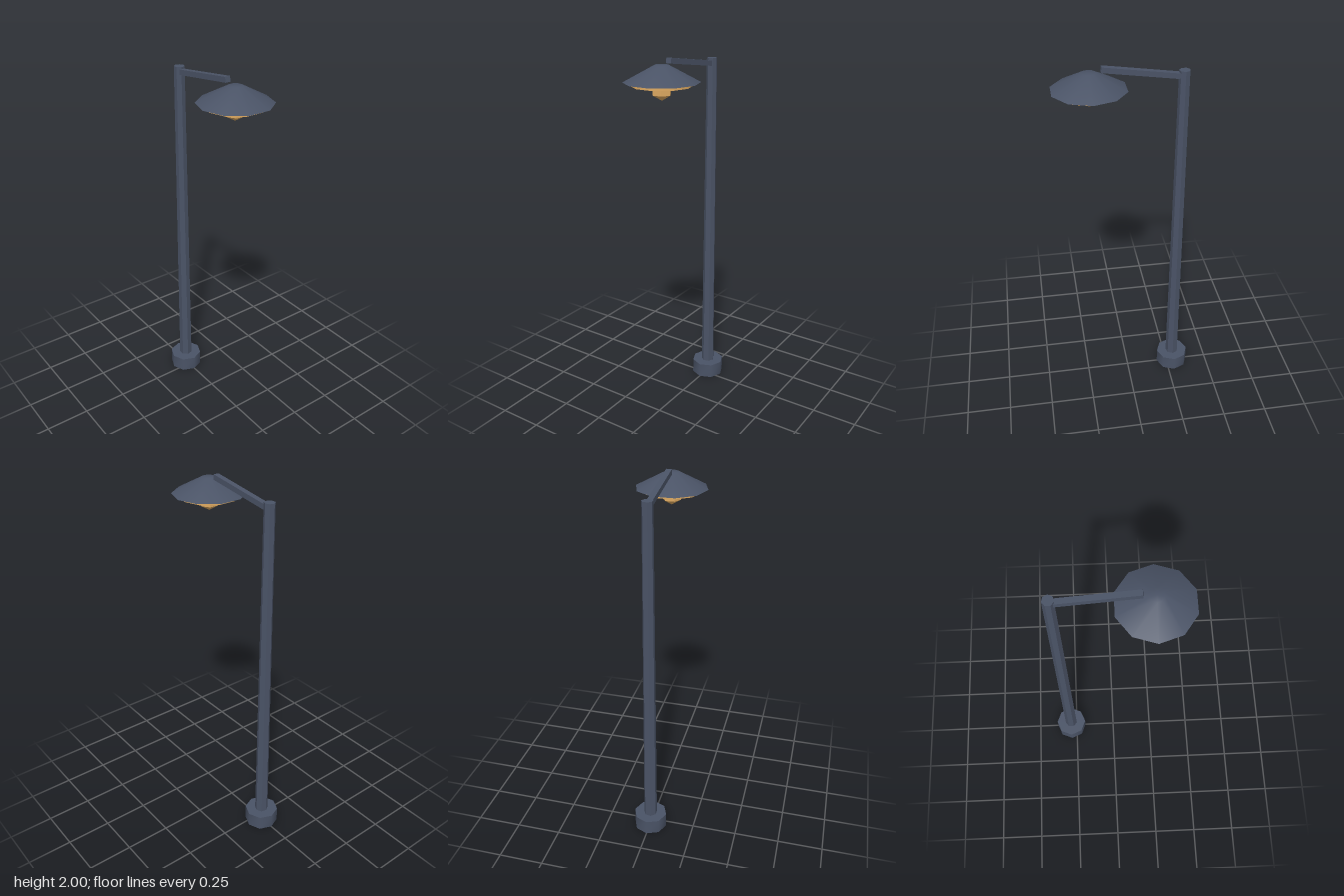
import * as THREE from 'three';
import { toCreasedNormals } from 'three/addons/utils/BufferGeometryUtils.js';

const metal = new THREE.MeshStandardMaterial({ color: 0x4a5366 });
const glow = new THREE.MeshStandardMaterial({ color: 0xe0ab62 });
const CREASE = 0.82; // soft across shallow edges, sharp across steep ones
const POST_X = -0.284;
const LAMP_X = 0.19;

export function createModel() {
  const model = new THREE.Group();

  function add(name, geometry, material, x, y) {
    const mesh = new THREE.Mesh(toCreasedNormals(geometry, CREASE), material);
    mesh.name = name;
    mesh.position.set(x, y, 0);
    model.add(mesh);
    return mesh;
  }

  // Upright prism or frustum between two heights, one corner pointing back
  function frustum(name, rTop, rBottom, y0, y1, sides, material, x) {
    const geometry = new THREE.CylinderGeometry(rTop, rBottom, y1 - y0, sides);
    geometry.rotateY(Math.PI);
    return add(name, geometry, material, x, (y0 + y1) / 2);
  }

  // Foot and tapering post
  frustum('base', 0.094, 0.094, 0, 0.085, 8, metal, POST_X);
  frustum('post', 0.029, 0.038, 0.04, 1.957, 7, metal, POST_X);

  // Arm rising from inside the post head toward the lamp
  const start = new THREE.Vector2(POST_X + 0.01, 1.929);
  const end = new THREE.Vector2(0.129, 1.986);
  const arm = add('arm', new THREE.BoxGeometry(start.distanceTo(end), 0.028, 0.03), metal,
    (start.x + end.x) / 2, (start.y + end.y) / 2);
  arm.rotation.z = Math.atan2(end.y - start.y, end.x - start.x);

  // Lamp head: shade, glowing disc and faceted bulb
  frustum('shade', 0.036, 0.195, 1.888, 1.972, 10, metal, LAMP_X);
  frustum('lightDisc', 0.156, 0.156, 1.87, 1.89, 10, glow, LAMP_X);
  const bulb = new THREE.SphereGeometry(0.058, 6, 3);
  bulb.rotateY(Math.PI / 2);
  add('bulb', bulb, glow, LAMP_X, 1.855);

  return model;
}
